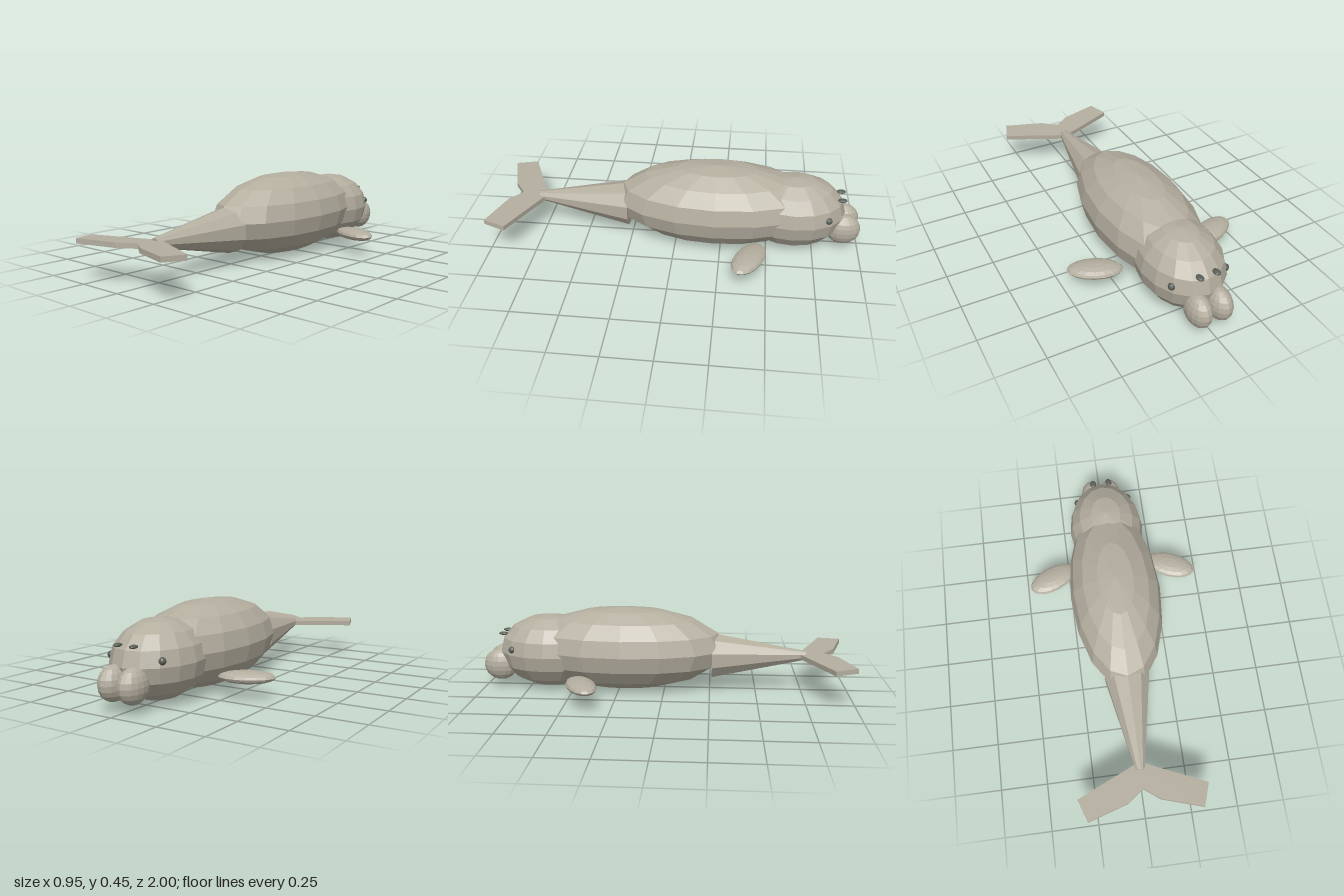
import * as THREE from 'three';

export function createModel() {
  const root = new THREE.Group();
  const mat = (name, color) => {
    const m = new THREE.MeshStandardMaterial({ color, flatShading: true });
    m.name = name;
    return m;
  };
  const skin = mat('skin', 0xb4ae9f);
  const dark = mat('darkGrey', 0x5a5f58);
  const ivory = mat('ivory', 0xe6e2d6);

  const add = (name, geometry, material, x, y, z) => {
    const mesh = new THREE.Mesh(geometry, material);
    mesh.name = name;
    mesh.position.set(x, y, z);
    root.add(mesh);
    return mesh;
  };
  // Faceted ellipsoid with its poles up and down
  const ellipsoid = (name, material, [x, y, z], [rx, ry, rz], w = 16, h = 8) =>
    add(name, new THREE.SphereGeometry(1, w, h).scale(rx, ry, rz), material, x, y, z);

  // Body and head
  ellipsoid('body', skin, [0, 0.23, -0.22], [0.252, 0.227, 0.555]);
  ellipsoid('head', skin, [0, 0.21, -0.635], [0.21, 0.2, 0.28]);

  // Tapering tail stock, wide end inside the body
  const tail = new THREE.CylinderGeometry(0.025, 0.126, 0.51, 10);
  tail.rotateX(Math.PI / 2);
  add('tail', tail, skin, 0, 0.19, 0.515);
  // Raise the narrow end slightly
  const p = tail.attributes.position;
  for (let i = 0; i < p.count; i++) p.setY(i, p.getY(i) + 0.01 * (p.getZ(i) / 0.51 + 0.5));

  // Forked fluke, drawn in plan and laid flat
  const half = [[0.34, 0.88], [0.3, 0.998], [0.085, 0.932]];
  const outline = [[0, 0.73], ...half, [0, 0.868],
    ...half.slice().reverse().map(([x, z]) => [-x, z])];
  const shape = new THREE.Shape(outline.map(([x, z]) => new THREE.Vector2(x, z - 0.87)));
  const fluke = new THREE.ExtrudeGeometry(shape, { depth: 0.026, bevelEnabled: false });
  fluke.translate(0, 0, -0.013).rotateX(Math.PI / 2);
  add('fluke', fluke, skin, 0, 0.201, 0.87).rotation.x = -0.04;

  // Mirrored pairs
  for (const s of [1, -1]) {
    const side = s > 0 ? 'left' : 'right';
    const flipper = ellipsoid(side + 'Flipper', skin,
      [s * 0.345, 0.112, -0.408], [0.142, 0.032, 0.075]);
    flipper.rotation.y = -s * 0.42;
    ellipsoid(side + 'Muzzle', skin, [s * 0.056, 0.135, -0.907], [0.06, 0.087, 0.093], 16, 10);
    ellipsoid(side + 'Eye', dark, [s * 0.147, 0.24, -0.815], [0.019, 0.019, 0.019], 10, 8);
    ellipsoid(side + 'Nostril', dark, [s * 0.045, 0.307, -0.887], [0.018, 0.009, 0.025], 10, 8);
    const tusk = new THREE.ConeGeometry(0.009, 0.04, 8).rotateX(Math.PI);
    add(side + 'Tusk', tusk, ivory, s * 0.035, 0.066, -0.91);
  }
  return root;
}
